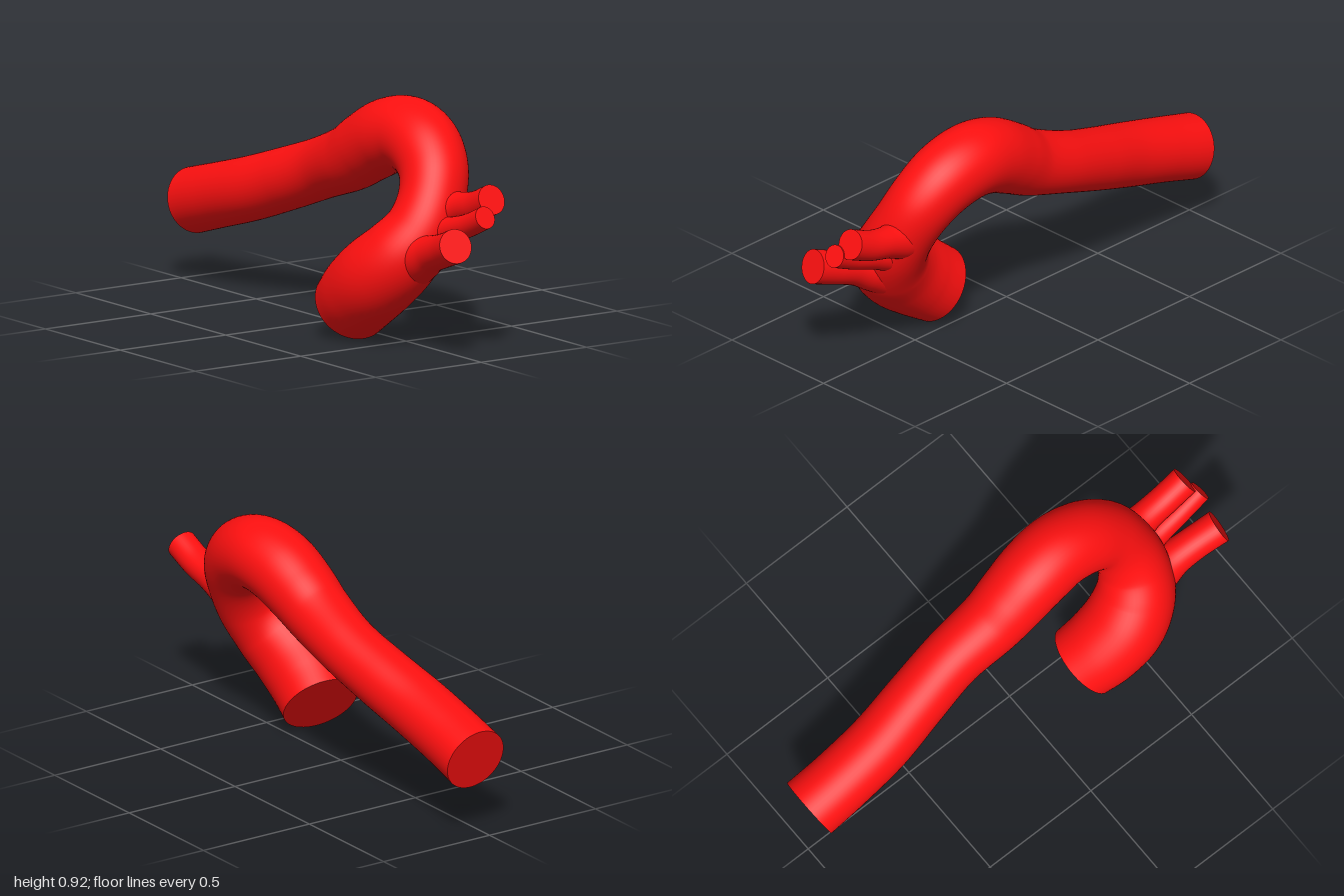
import * as THREE from 'three';

const V = (a) => new THREE.Vector3(a[0], a[1], a[2]);

// Capped vessel swept along stations [x, y, z, radius]
function vessel(name, stations, rings, sides, material) {
  const path = new THREE.CatmullRomCurve3(stations.map(V));
  const radius = new THREE.CatmullRomCurve3(
    stations.map((s) => new THREE.Vector3(s[3], 0, 0)), false, 'catmullrom');
  const { normals, binormals } = path.computeFrenetFrames(rings);
  const pos = [], index = [];

  // wall
  for (let i = 0; i <= rings; i++) {
    const t = path.getUtoTmapping(i / rings);
    const c = path.getPoint(t), r = radius.getPoint(t).x;
    for (let j = 0; j < sides; j++) {
      const a = (j / sides) * Math.PI * 2;
      const p = c.clone()
        .addScaledVector(normals[i], r * Math.cos(a))
        .addScaledVector(binormals[i], r * Math.sin(a));
      pos.push(p.x, p.y, p.z);
      if (i < rings) {
        const k = (j + 1) % sides, m = i * sides, n = m + sides;
        index.push(m + j, m + k, n + j, m + k, n + k, n + j);
      }
    }
  }

  // flat cut ends, with their own vertices so the rims stay sharp
  for (const end of [0, 1]) {
    const c = path.getPoint(end);
    const start = pos.length / 3, from = end * rings * sides;
    pos.push(c.x, c.y, c.z);
    for (let j = 0; j < sides; j++) {
      const v = (from + j) * 3;
      pos.push(pos[v], pos[v + 1], pos[v + 2]);
      const p = start + 1 + j, q = start + 1 + ((j + 1) % sides);
      if (end) index.push(start, p, q);
      else index.push(start, q, p);
    }
  }

  const geometry = new THREE.BufferGeometry();
  geometry.setAttribute('position', new THREE.Float32BufferAttribute(pos, 3));
  geometry.setIndex(index);
  geometry.computeVertexNormals();
  const mesh = new THREE.Mesh(geometry, material);
  mesh.name = name;
  return mesh;
}

export function createModel() {
  const group = new THREE.Group();
  group.name = 'aorta';
  const red = new THREE.MeshStandardMaterial({ color: 0xff1010 });

  // ascending part, arch and long descending part
  group.add(vessel('mainVessel', [
    [-0.10, 0.13, 0.28, 0.153],
    [-0.118, 0.20, 0.38, 0.163],
    [-0.115, 0.275, 0.48, 0.166],
    [-0.075, 0.36, 0.565, 0.157],
    [-0.01, 0.46, 0.607, 0.14],
    [0.05, 0.57, 0.597, 0.132],
    [0.095, 0.67, 0.55, 0.136],
    [0.12, 0.745, 0.46, 0.144],
    [0.13, 0.777, 0.34, 0.148],
    [0.122, 0.755, 0.22, 0.148],
    [0.112, 0.695, 0.10, 0.141],
    [0.106, 0.637, 0, 0.132],
    [0.106, 0.56, -0.2, 0.122],
    [0.08, 0.487, -0.4, 0.124],
    [0.05, 0.418, -0.6, 0.127],
    [0.04, 0.36, -0.8, 0.128],
    [0.04, 0.314, -0.962, 0.13],
  ], 160, 56, red));

  // three branches leaving the front of the arch, flared at their roots
  group.add(vessel('rightBranch', [
    [-0.055, 0.35, 0.62, 0.11],
    [-0.062, 0.378, 0.70, 0.09],
    [-0.068, 0.402, 0.77, 0.072],
    [-0.078, 0.43, 0.86, 0.067],
    [-0.095, 0.466, 0.963, 0.068],
  ], 36, 36, red));
  group.add(vessel('middleBranch', [
    [0.025, 0.45, 0.62, 0.085],
    [0.028, 0.465, 0.69, 0.068],
    [0.03, 0.482, 0.76, 0.052],
    [0.032, 0.518, 0.87, 0.046],
    [0.036, 0.566, 0.976, 0.045],
  ], 36, 32, red));
  group.add(vessel('leftBranch', [
    [0.07, 0.53, 0.60, 0.095],
    [0.08, 0.545, 0.68, 0.078],
    [0.088, 0.56, 0.75, 0.063],
    [0.09, 0.582, 0.84, 0.06],
    [0.09, 0.625, 0.943, 0.06],
  ], 36, 36, red));

  return group;
}
